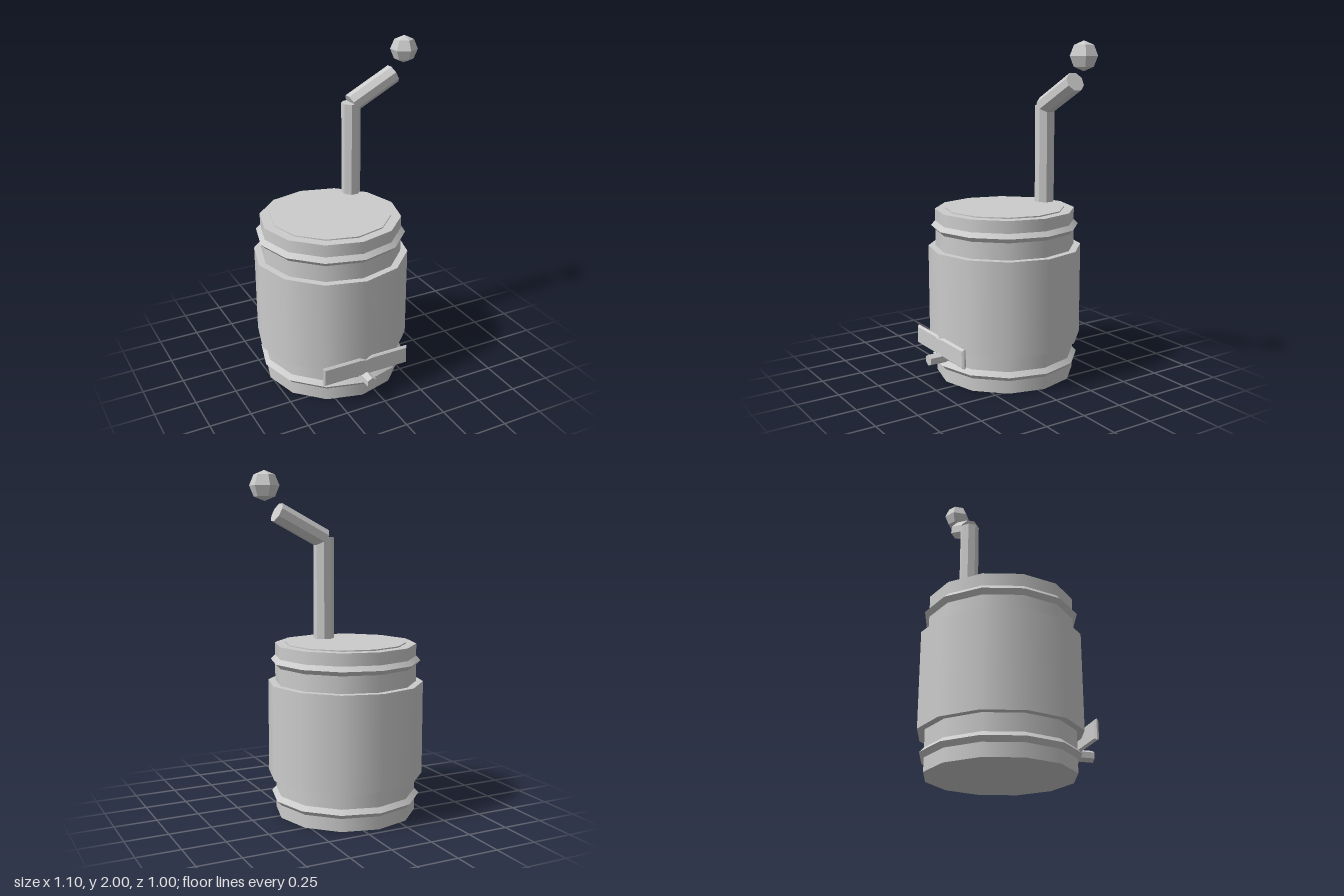
import * as THREE from 'three';

export function createModel() {
  const model = new THREE.Group();
  const gray = new THREE.MeshStandardMaterial({ color: 0xcccccc });
  gray.name = 'plainGray';

  const add = (name, geometry, parent = model) => {
    const mesh = new THREE.Mesh(geometry, gray);
    mesh.name = name;
    parent.add(mesh);
    return mesh;
  };
  // Faceted copy of a geometry
  const faceted = (geometry) => {
    const flat = geometry.toNonIndexed();
    flat.computeVertexNormals();
    return flat;
  };

  // Barrel: twelve-sided, smooth around its wall
  const barrel = new THREE.Group();
  barrel.name = 'barrel';
  barrel.position.set(-0.088, 0, -0.037);
  model.add(barrel);
  const drum = (name, bottomR, topR, y0, y1, open = false) => {
    const geometry = new THREE.CylinderGeometry(topR, bottomR, y1 - y0, 12, 1, open);
    add(name, geometry, barrel).position.y = (y0 + y1) / 2;
  };
  drum('barrelBody', 0.42, 0.42, 0, 1.016);
  drum('barrelSleeve', 0.4625, 0.4625, 0.23, 0.79);
  drum('lidPanel', 0.36, 0.36, 1.01, 1.023);

  // Hoops with a sharp outer ridge
  for (const [name, y] of [['lowerHoop', 0.104], ['upperHoop', 0.916]]) {
    drum(name + 'Underside', 0.418, 0.446, y - 0.029, y, true);
    drum(name + 'Top', 0.446, 0.418, y, y + 0.029, true);
  }

  // Pump handle: two eight-sided rods and a knob
  const z = -0.177;
  const rod = (name, a, b) => {
    const start = new THREE.Vector3(a[0], a[1], z);
    const axis = new THREE.Vector3(b[0], b[1], z).sub(start);
    const geometry = new THREE.CylinderGeometry(0.0575, 0.0575, axis.length(), 8);
    geometry.rotateY(Math.PI / 8);
    const mesh = add(name, faceted(geometry));
    mesh.position.copy(start).addScaledVector(axis, 0.5);
    mesh.rotation.z = Math.atan2(-axis.x, axis.y);
  };
  rod('uprightRod', [0.123, 1.075], [0.123, 1.638]);
  rod('angledRod', [0.124, 1.632], [0.404, 1.778]);

  const knob = new THREE.SphereGeometry(0.082, 6, 4);
  knob.rotateY(Math.PI / 2);
  add('handleKnob', faceted(knob)).position.set(0.475, 1.918, z);

  // Tap plate: bevelled bar with a shallow dip in its top edge
  const outline = new THREE.Shape([
    [-0.266, 0.18], [0.266, 0.18], [0.266, 0.277],
    [0.04, 0.277], [0, 0.27], [-0.04, 0.277], [-0.266, 0.277],
  ].map(([x, y]) => new THREE.Vector2(x, y)));
  const plate = new THREE.ExtrudeGeometry(outline, {
    depth: 0.004, bevelThickness: 0.011, bevelSize: 0.01, bevelSegments: 1,
  });
  add('tapPlate', plate).position.set(-0.088, 0, 0.414);

  // Tap spout: six-sided, pointing forward
  const spout = new THREE.CylinderGeometry(0.034, 0.034, 0.117, 6);
  spout.rotateX(Math.PI / 2);
  add('tapSpout', faceted(spout)).position.set(-0.088, 0.157, 0.4415);

  return model;
}
